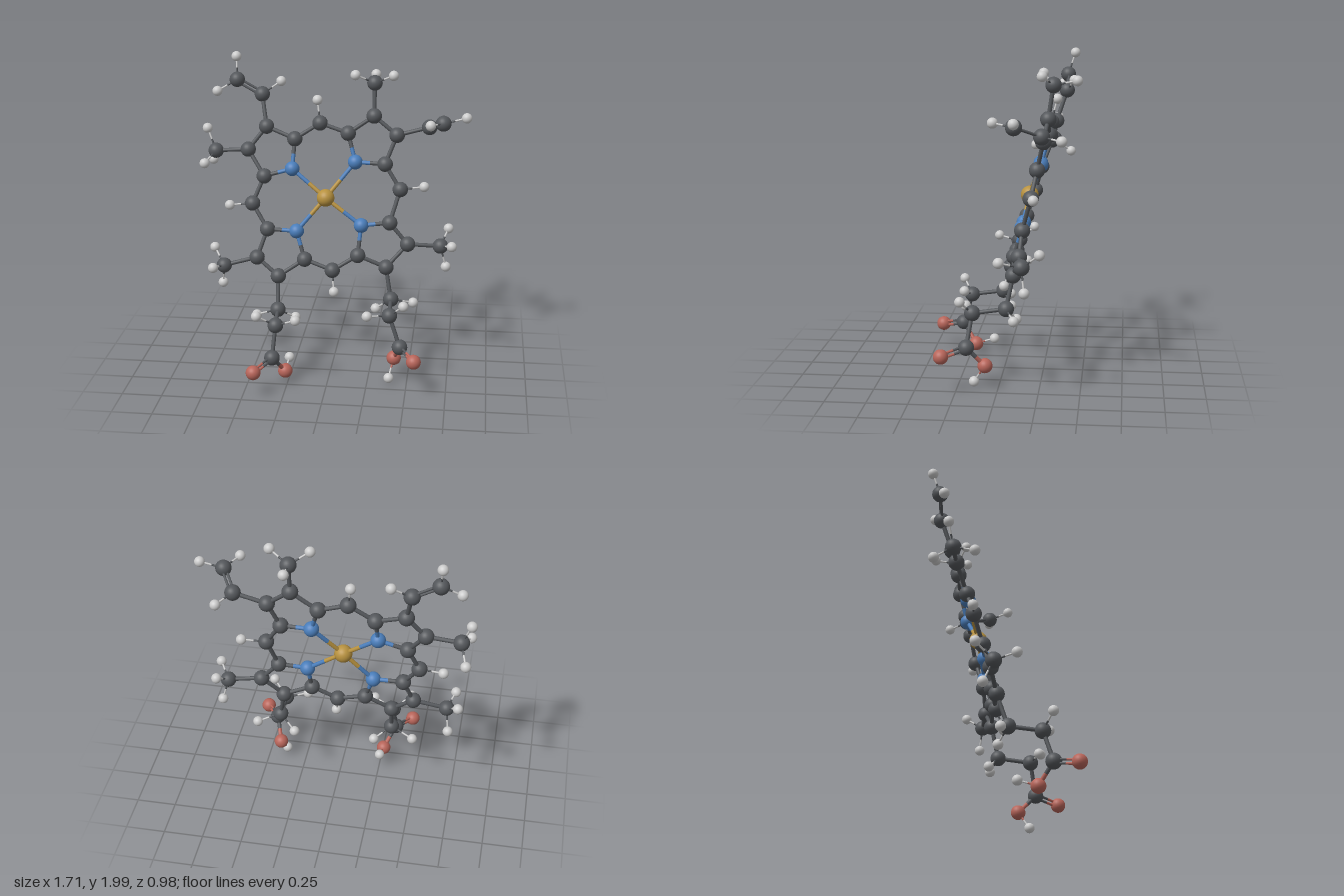
import * as THREE from 'three';

// Ball radius and colour of each kind of atom
const KINDS = {
  C: { name: 'carbon', r: 0.049, color: 0x54575b },
  H: { name: 'hydrogen', r: 0.032, color: 0xcccccc },
  N: { name: 'nitrogen', r: 0.047, color: 0x4a7ebb },
  O: { name: 'oxygen', r: 0.046, color: 0xb8655a },
  M: { name: 'metal', r: 0.056, color: 0xb8923f },
};
const UP = new THREE.Vector3(0, 1, 0);

// Fragments: a string of atom kinds and one position per atom
const core = [['metalCentre', 'M', [[-0.05, 1.126, -0.155]]]];

const rings = [
  ['upperRightRing', 'NCCCC', [[-0.27, 1.295, -0.21], [-0.26, 1.476, -0.27], [-0.445, 1.545, -0.30], [-0.56, 1.40, -0.265], [-0.45, 1.243, -0.205]]],
  ['upperLeftRing', 'NCCCC', [[0.13, 1.345, -0.235], [0.08, 1.52, -0.28], [0.243, 1.635, -0.285], [0.39, 1.52, -0.265], [0.32, 1.34, -0.225]]],
  ['lowerLeftRing', 'NCCCC', [[0.18, 0.96, -0.125], [0.36, 0.98, -0.14], [0.476, 0.845, -0.13], [0.344, 0.70, -0.085], [0.164, 0.776, -0.075]]],
  ['lowerRightRing', 'NCCCC', [[-0.23, 0.914, -0.105], [-0.175, 0.74, -0.065], [-0.34, 0.633, -0.03], [-0.48, 0.744, -0.06], [-0.418, 0.92, -0.11]]],
];

const bridges = [
  ['topBridge', 'CH', [[-0.10, 1.58, -0.285], [-0.12, 1.72, -0.32]]],
  ['leftBridge', 'CH', [[0.42, 1.185, -0.195], [0.57, 1.20, -0.22]]],
  ['bottomBridge', 'CH', [[0.005, 0.68, -0.045], [0.02, 0.55, 0.0]]],
  ['rightBridge', 'CH', [[-0.52, 1.073, -0.16], [-0.667, 1.057, -0.157]]],
];

const methyls = [
  ['upperRightMethyl', 'CHHH', [[-0.77, 1.385, -0.27], [-0.826, 1.525, -0.295], [-0.82, 1.333, -0.14], [-0.81, 1.295, -0.38]]],
  ['topMethyl', 'CHHH', [[0.243, 1.84, -0.315], [0.127, 1.90, -0.25], [0.365, 1.90, -0.255], [0.24, 1.865, -0.458]]],
  ['lowerLeftMethyl', 'CHHH', [[0.683, 0.83, -0.16], [0.73, 0.914, -0.268], [0.757, 0.87, -0.035], [0.72, 0.685, -0.18]]],
  ['lowerRightMethyl', 'CHHH', [[-0.69, 0.69, -0.035], [-0.767, 0.775, -0.137], [-0.735, 0.718, 0.1], [-0.71, 0.55, -0.095]]],
];

// In these chains the last entry [a, b, c] doubles bond a-b in the plane of a, b, c
const vinyls = [
  ['topVinyl', 'CCHHH', [[-0.48, 1.74, -0.365], [-0.64, 1.83, -0.365], [-0.365, 1.815, -0.415], [-0.65, 1.97, -0.41], [-0.763, 1.76, -0.33]], [0, 1, 2]],
  ['leftVinyl', 'CCHHH', [[0.593, 1.576, -0.268], [0.683, 1.64, -0.115], [0.67, 1.56, -0.387], [0.825, 1.675, -0.125], [0.61, 1.655, 0.012]], [0, 1, 2]],
];

const acidChains = [
  ['leftAcidChain', 'CCCOOHHHHH', [[0.38, 0.50, -0.045], [0.386, 0.47, 0.16], [0.455, 0.273, 0.19], [0.55, 0.24, 0.332], [0.413, 0.15, 0.08],
    [0.386, 0.04, 0.15], [0.52, 0.46, -0.102], [0.28, 0.41, -0.1], [0.476, 0.56, 0.225], [0.25, 0.48, 0.215]], [2, 3, 4]],
  ['rightAcidChain', 'CCCOOHHHHH', [[-0.335, 0.43, 0.036], [-0.32, 0.405, 0.24], [-0.335, 0.21, 0.30], [-0.43, 0.17, 0.447], [-0.265, 0.085, 0.21],
    [-0.255, 0.125, 0.088], [-0.477, 0.373, -0.002], [-0.23, 0.357, -0.025], [-0.43, 0.485, 0.303], [-0.19, 0.457, 0.278]], [2, 3, 4]],
];

// Longest distance at which two atoms are joined
function bondReach(a, b) {
  const pair = a.kind + b.kind;
  if (pair === 'HH') return 0;
  if (pair.includes('H')) return 0.19;
  return pair.includes('M') ? 0.34 : 0.26;
}

export function createModel() {
  const model = new THREE.Group();
  model.name = 'molecule';
  const ball = new THREE.SphereGeometry(1, 24, 16);
  const rod = new THREE.CylinderGeometry(1, 1, 1, 12, 1, true);
  const materials = {};
  for (const k in KINDS) materials[k] = new THREE.MeshStandardMaterial({ color: KINDS[k].color });

  // Rod whose two halves take the colours of the atoms they touch
  function addRod(a, b, radius, offset) {
    const mid = a.pos.clone().add(b.pos).multiplyScalar(0.5);
    for (const atom of [a, b]) {
      const dir = mid.clone().sub(atom.pos);
      const mesh = new THREE.Mesh(rod, materials[atom.kind]);
      mesh.name = KINDS[atom.kind].name + 'Bond';
      mesh.position.copy(atom.pos).add(mid).multiplyScalar(0.5).add(offset);
      mesh.scale.set(radius, dir.length(), radius);
      mesh.quaternion.setFromUnitVectors(UP, dir.normalize());
      atom.group.add(mesh);
    }
  }

  // Atoms
  const atoms = [];
  for (const [name, kinds, points, double] of [...core, ...rings, ...bridges, ...methyls, ...vinyls, ...acidChains]) {
    const group = new THREE.Group();
    group.name = name;
    model.add(group);
    const local = points.map((p, i) => ({ kind: kinds[i], pos: new THREE.Vector3(...p), group }));
    for (const atom of local) {
      const mesh = new THREE.Mesh(ball, materials[atom.kind]);
      mesh.name = KINDS[atom.kind].name + 'Atom';
      mesh.position.copy(atom.pos);
      mesh.scale.setScalar(KINDS[atom.kind].r);
      group.add(mesh);
    }
    if (double) {
      const [a, b, c] = double.map((i) => local[i]);
      const dir = b.pos.clone().sub(a.pos).normalize();
      a.partner = b;
      a.side = c.pos.clone().sub(a.pos).projectOnPlane(dir).setLength(0.012);
    }
    atoms.push(...local);
  }

  // Bonds: thin to hydrogen, a pair of rods where doubled
  atoms.forEach((a, i) => {
    for (const b of atoms.slice(i + 1)) {
      if (a.pos.distanceTo(b.pos) > bondReach(a, b)) continue;
      if (a.partner === b) {
        addRod(a, b, 0.008, a.side);
        addRod(a, b, 0.008, a.side.clone().negate());
      } else {
        addRod(a, b, a.kind === 'H' || b.kind === 'H' ? 0.006 : 0.013, new THREE.Vector3());
      }
    }
  });
  return model;
}
